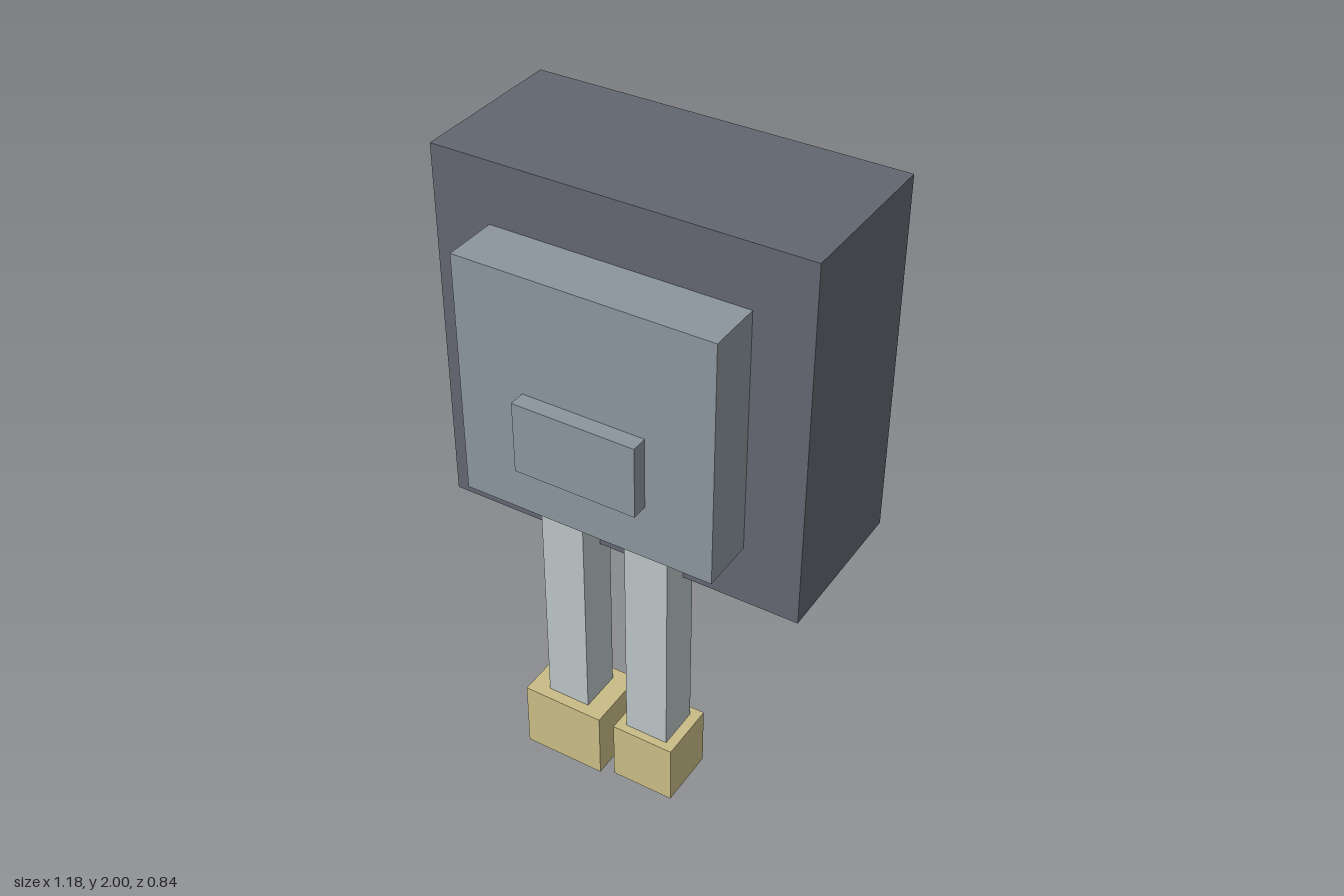
import * as THREE from 'three';

const material = (name, color) => {
  const m = new THREE.MeshStandardMaterial({ color });
  m.name = name;
  return m;
};

export function createModel() {
  const model = new THREE.Group();
  model.name = 'boxOnLegs';
  const dark = material('dark slate', 0x62666f);
  const grey = material('blue grey', 0x8b959c);
  const pale = material('pale grey', 0xbac3c6);
  const gold = material('sand gold', 0xc8bc86);

  // Box given by its [min, max] range on each axis
  const addBox = (name, mat, x, y, z) => {
    const size = [x, y, z].map(([a, b]) => b - a);
    const mesh = new THREE.Mesh(new THREE.BoxGeometry(...size), mat);
    mesh.position.set(...[x, y, z].map(([a, b]) => (a + b) / 2));
    mesh.name = name;
    model.add(mesh);
  };

  // Body with stepped panels
  addBox('body', dark, [-0.59, 0.587], [0.826, 2], [-0.33, 0.192]);
  addBox('backPanel', grey, [-0.507, 0.503], [0.91, 1.92], [-0.421, -0.33]);
  addBox('frontPanel', grey, [-0.408, 0.406], [1.022, 1.805], [0.192, 0.369]);
  addBox('frontPlate', grey, [-0.197, 0.194], [1.2, 1.43], [0.369, 0.421]);

  // Legs, with a bridge between them
  addBox('rightLeg', pale, [-0.216, -0.073], [0.22, 1.1], [0.138, 0.281]);
  addBox('leftLeg', pale, [0.069, 0.212], [0.21, 1.1], [0.138, 0.281]);
  addBox('legBridge', gold, [-0.073, 0.069], [0.962, 1.1], [0.15, 0.27]);

  // Feet, the left one slightly smaller
  addBox('rightFoot', gold, [-0.28, -0.008], [0, 0.231], [0.1, 0.318]);
  addBox('leftFoot', gold, [0.038, 0.245], [0.013, 0.22], [0.11, 0.308]);

  return model;
}
